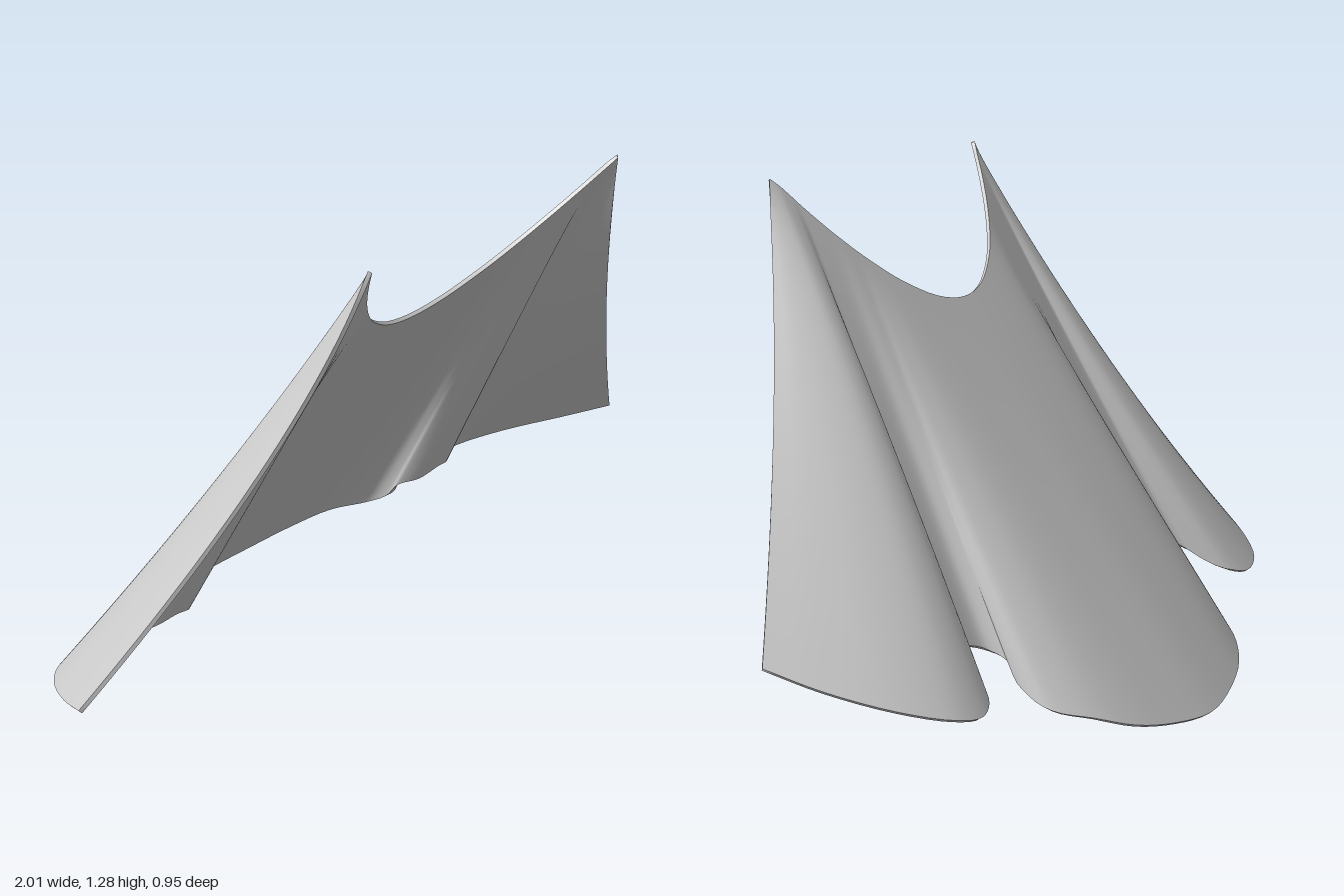
import * as THREE from 'three';

// Half of the cloth, from the back centre to the front edge:
// [x on the neckline, hem x, hem y, hem z, inward bow]
const COLUMNS = [
  [0, 0, 0, -0.475, 0],
  [0.1, 0.14, 0.013, -0.455, 0],
  [0.2, 0.27, 0.04, -0.415, 0],
  [0.25, 0.36, 0.075, -0.355, 0],
  [0.28, 0.42, 0.1, -0.28, 0],
  [0.3, 0.425, 0.14, -0.215, 0],
  [0.325, 0.415, 0.2, -0.16, 0],
  [0.35, 0.44, 0.225, -0.11, 0],
  [0.38, 0.5, 0.243, -0.095, 0.05],
  [0.4, 0.555, 0.23, -0.11, 0.1],
  [0.415, 0.605, 0.172, -0.215, 0.2],
  [0.425, 0.67, 0.152, -0.243, 0.35],
  [0.432, 0.75, 0.165, -0.225, 0.5],
  [0.437, 0.85, 0.2, -0.14, 0.7],
  [0.441, 0.94, 0.25, -0.01, 0.85],
  [0.445, 1, 0.3, 0.105, 1],
];
const ACROSS = 120, DOWN = 28, THICKNESS = 0.01;

// Neckline: a dip at the back rising to a peak at each shoulder
function neckPoint(x) {
  const k = (x / 0.445) ** 2;
  return new THREE.Vector3(x, 0.95 + 0.325 * k, 0.22 + 0.245 * k);
}

// Three guide curves: neckline, bowed middle, hem
function guideCurves() {
  const rows = [[], [], []];
  const add = ([tx, bx, by, bz, bow], side) => {
    const top = neckPoint(tx);
    const hem = new THREE.Vector3(bx, by, bz);
    const mid = top.clone().lerp(hem, 0.5).add(new THREE.Vector3(-0.17, 0.07, 0.075).multiplyScalar(bow));
    [top, mid, hem].forEach((p, i) => {
      p.x *= side;
      rows[i].push(p);
    });
  };
  COLUMNS.slice(1).reverse().forEach((c) => add(c, -1));
  COLUMNS.forEach((c) => add(c, 1));
  return rows.map((pts) => new THREE.CatmullRomCurve3(pts, false, 'centripetal'));
}

// Grid of points with its triangles; flip reverses the facing
function sheet(points, flip) {
  const index = [], w = ACROSS + 1;
  for (let j = 0; j < DOWN; j++) {
    for (let i = 0; i < ACROSS; i++) {
      const a = j * w + i, b = a + 1, c = a + w, d = c + 1;
      if (flip) index.push(a, b, c, b, d, c);
      else index.push(a, c, b, b, c, d);
    }
  }
  const geo = new THREE.BufferGeometry().setFromPoints(points);
  geo.setIndex(index);
  geo.computeVertexNormals();
  return geo;
}

// Thin strip joining the edges of both faces
function rim(inner, outer) {
  const w = ACROSS + 1, loop = [];
  for (let i = 0; i < ACROSS; i++) loop.push(i);
  for (let j = 0; j < DOWN; j++) loop.push(j * w + ACROSS);
  for (let i = ACROSS; i > 0; i--) loop.push(DOWN * w + i);
  for (let j = DOWN; j > 0; j--) loop.push(j * w);
  const points = [], index = [], n = loop.length;
  loop.forEach((v, k) => {
    points.push(inner[v], outer[v]);
    const a = 2 * k, b = 2 * ((k + 1) % n);
    index.push(a, b, a + 1, b, b + 1, a + 1);
  });
  const geo = new THREE.BufferGeometry().setFromPoints(points);
  geo.setIndex(index);
  geo.computeVertexNormals();
  return geo;
}

export function createModel() {
  const group = new THREE.Group();
  group.name = 'cape';
  const material = new THREE.MeshStandardMaterial({ color: 0xcccccc, side: THREE.DoubleSide });
  const [neck, middle, hem] = guideCurves();

  // Each column of the cloth falls from neckline to hem along a soft curve
  const inner = [];
  for (let j = 0; j <= DOWN; j++) {
    for (let i = 0; i <= ACROSS; i++) {
      const u = i / ACROSS;
      const fall = new THREE.QuadraticBezierCurve3(neck.getPoint(u), middle.getPoint(u), hem.getPoint(u));
      inner.push(fall.getPoint(j / DOWN));
    }
  }
  const lining = sheet(inner, false);
  const normals = lining.attributes.normal;
  const outer = inner.map((p, i) =>
    p.clone().addScaledVector(new THREE.Vector3().fromBufferAttribute(normals, i), -THICKNESS));

  const addPart = (name, geometry) => {
    const mesh = new THREE.Mesh(geometry, material);
    mesh.name = name;
    group.add(mesh);
  };
  addPart('lining', lining);
  addPart('outerCloth', sheet(outer, true));
  addPart('hemEdge', rim(inner, outer));

  // Stand the cloth on the ground
  const box = new THREE.Box3().setFromObject(group);
  group.position.y = -box.min.y;
  return group;
}
